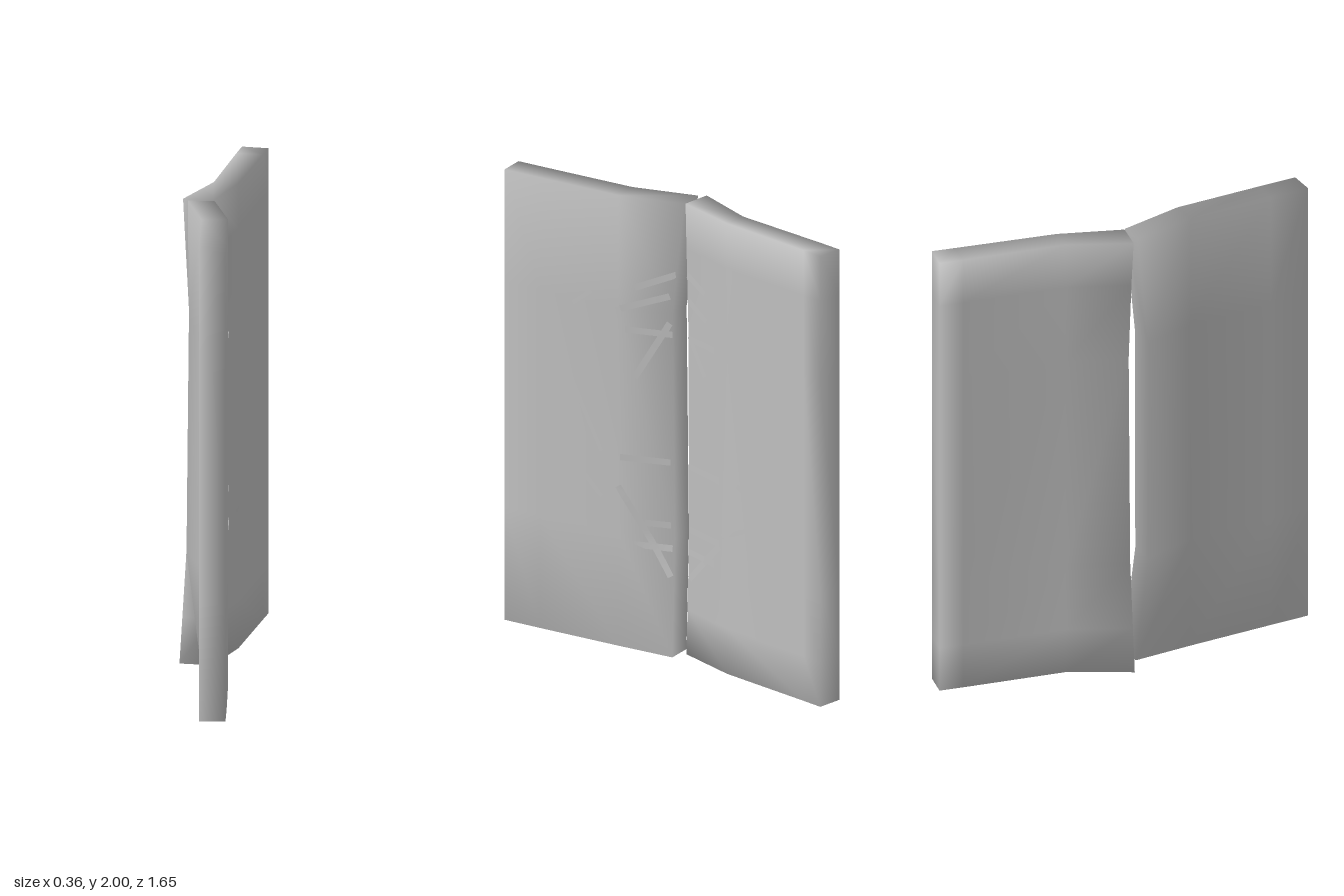
import * as THREE from 'three';

const steel = new THREE.MeshStandardMaterial({ color: 0xc0c0c0, side: THREE.DoubleSide });
steel.name = 'bareSteel';

// Each row is [height, profile]; each profile point is [outerX, outerZ, innerX, innerZ], by rising z.
const frontRows = [
  [0, -0.09, 0.01, 0.022, 0.01],
  [0.5, -0.15, 0.035, -0.04, 0.035],
  [1.5, -0.14, 0.04, -0.03, 0.04],
  [2, -0.145, -0.012, -0.035, -0.012],
].map(([y, ...edge]) => [y, [
  edge,
  [-0.086, 0.27, 0.025, 0.27],
  [-0.088, 0.65, 0.023, 0.65],
  [-0.09, 0.825, 0.02, 0.825],
]]);

const backRows = [
  [0, -0.18, -0.045, -0.04, -0.02],
  [0.2, -0.168, -0.047, -0.04, -0.026],
  [0.5, -0.15, -0.05, -0.04, -0.033],
  [1.45, -0.137, -0.05, -0.035, -0.033],
  [1.8, -0.155, -0.047, -0.038, -0.022],
  [2, -0.165, -0.042, -0.04, -0.016],
].map(([y, ...edge]) => [y, [
  [0.07, -0.83, 0.18, -0.805],
  [0.048, -0.73, 0.158, -0.71],
  [-0.04, -0.295, 0.062, -0.28],
  edge,
]]);

// Closed bent slab with shared vertices, so corners shade softly
function slab(rows) {
  const R = rows.length - 1, C = rows[0][1].length - 1;
  const pos = [], idx = [];
  for (const [y, pts] of rows)
    for (const [xo, zo, xi, zi] of pts) pos.push(xo, y, zo, xi, y, zi);
  const M = (r, c) => 2 * (r * (C + 1) + c);
  const P = (r, c) => M(r, c) + 1;
  const quad = (a, b, c, d) => idx.push(a, b, c, a, c, d);
  for (let r = 0; r < R; r++) {
    for (let c = 0; c < C; c++) {
      quad(P(r, c), P(r + 1, c), P(r + 1, c + 1), P(r, c + 1));
      quad(M(r, c), M(r, c + 1), M(r + 1, c + 1), M(r + 1, c));
    }
    quad(M(r, C), P(r, C), P(r + 1, C), M(r + 1, C));
    quad(M(r, 0), M(r + 1, 0), P(r + 1, 0), P(r, 0));
  }
  for (let c = 0; c < C; c++) {
    quad(M(R, c), M(R, c + 1), P(R, c + 1), P(R, c));
    quad(M(0, c), P(0, c), P(0, c + 1), M(0, c + 1));
  }
  const g = new THREE.BufferGeometry();
  g.setAttribute('position', new THREE.Float32BufferAttribute(pos, 3));
  g.setIndex(idx);
  g.computeVertexNormals();
  return g;
}

// Inner face position at a given z and y
function facePoint(rows, z, y) {
  let r = 0;
  while (r < rows.length - 2 && y > rows[r + 1][0]) r++;
  const t = (y - rows[r][0]) / (rows[r + 1][0] - rows[r][0]);
  const line = rows[r][1].map((p, i) => {
    const q = rows[r + 1][1][i];
    return [p[2] + (q[2] - p[2]) * t, p[3] + (q[3] - p[3]) * t];
  });
  const zc = THREE.MathUtils.clamp(z, line[0][1], line[line.length - 1][1]);
  let c = 0;
  while (c < line.length - 2 && zc > line[c + 1][1]) c++;
  const [a, b] = [line[c], line[c + 1]];
  return [a[0] + (b[0] - a[0]) * (zc - a[1]) / (b[1] - a[1]) + 0.004, y, zc];
}

// Thin scratch ribbon that follows the inner face
function scratch(rows, [z0, y0, z1, y1], width) {
  const n = 10, len = Math.hypot(z1 - z0, y1 - y0);
  const oz = -(y1 - y0) / len * width / 2, oy = (z1 - z0) / len * width / 2;
  const pos = [], idx = [];
  for (let i = 0; i <= n; i++) {
    const z = z0 + (z1 - z0) * i / n, y = y0 + (y1 - y0) * i / n;
    pos.push(...facePoint(rows, z - oz, y - oy), ...facePoint(rows, z + oz, y + oy));
    const k = 2 * i;
    // Wound to face +x whichever way the scratch runs
    if (i < n) idx.push(k, k + 1, k + 2, k + 1, k + 3, k + 2);
  }
  const g = new THREE.BufferGeometry();
  g.setAttribute('position', new THREE.Float32BufferAttribute(pos, 3));
  g.setIndex(idx);
  g.computeVertexNormals();
  return g;
}

// Scratches as [z0, y0, z1, y1]
const frontScratches = [
  [0.02, 1.68, 0.2, 1.6], [0.05, 1.58, 0.26, 1.5], [0.04, 1.41, 0.24, 1.41],
  [0.05, 1.46, 0.2, 1.2], [0.05, 0.84, 0.26, 0.84], [0.05, 0.56, 0.16, 0.56],
  [0.04, 0.46, 0.2, 0.46], [0.04, 0.34, 0.27, 0.71],
];
const frontFaint = [
  [0.64, 1.4, 0.59, 1.2], [0.6, 1.15, 0.64, 0.95], [0.5, 1.15, 0.35, 0.85],
  [0.49, 1.48, 0.4, 1.55], [0.47, 0.77, 0.35, 0.65],
];
const backScratches = [
  [-0.03, 1.69, -0.14, 1.64], [-0.03, 1.58, -0.15, 1.52], [-0.04, 1.41, -0.2, 1.41],
  [-0.04, 1.42, -0.14, 1.27], [-0.04, 0.84, -0.23, 0.84], [-0.04, 0.56, -0.23, 0.56],
  [-0.04, 0.46, -0.2, 0.46], [-0.04, 0.34, -0.23, 0.55],
];
const backFaint = [
  [-0.25, 0.6, -0.55, 0.74], [-0.34, 0.85, -0.5, 0.75],
  [-0.3, 1.57, -0.4, 1.52], [-0.45, 1.3, -0.52, 1.15],
];

function door(name, rows, bold, faint) {
  const group = new THREE.Group();
  group.name = name;
  const add = (geometry, part) => {
    const mesh = new THREE.Mesh(geometry, steel);
    mesh.name = part;
    group.add(mesh);
  };
  add(slab(rows), 'bentPanel');
  bold.forEach((s) => add(scratch(rows, s, 0.028), 'scratch'));
  faint.forEach((s) => add(scratch(rows, s, 0.018), 'faintScratch'));
  return group;
}

export function createModel() {
  const model = new THREE.Group();
  model.name = 'bentDoubleDoor';
  model.add(door('frontDoor', frontRows, frontScratches, frontFaint));
  model.add(door('backDoor', backRows, backScratches, backFaint));
  return model;
}
